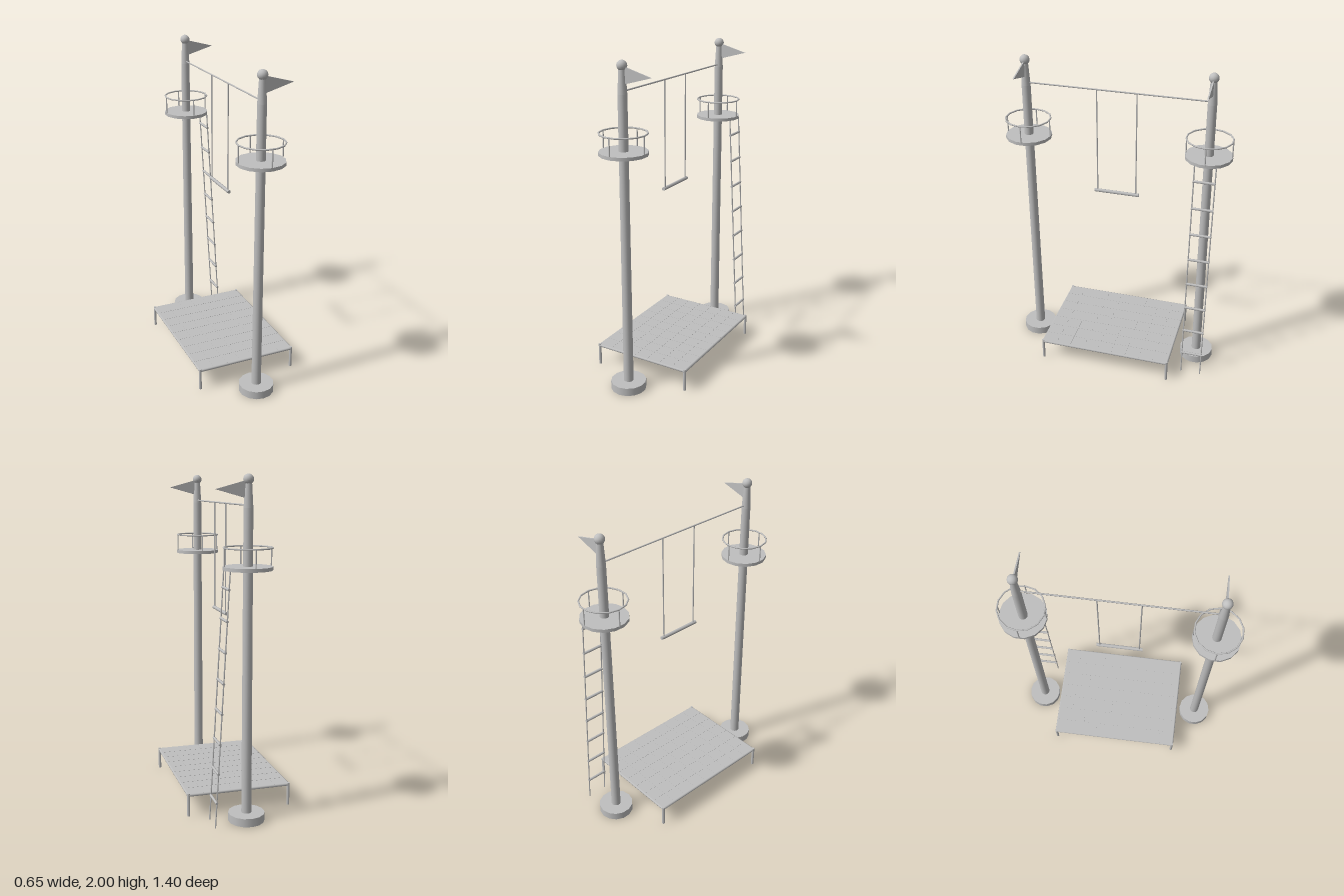
import * as THREE from 'three';

const steel = new THREE.MeshStandardMaterial({ color: 0xbfbfbf });
steel.name = 'plain grey';

function add(parent, name, geometry, x = 0, y = 0, z = 0) {
  const mesh = new THREE.Mesh(geometry, steel);
  mesh.name = name;
  mesh.position.set(x, y, z);
  parent.add(mesh);
  return mesh;
}

// Round bar between two points
function bar(parent, name, a, b, radius, sides = 8) {
  const from = new THREE.Vector3(...a), to = new THREE.Vector3(...b);
  const dir = to.clone().sub(from);
  const mesh = add(parent, name, new THREE.CylinderGeometry(radius, radius, dir.length(), sides));
  mesh.position.copy(from).add(to).multiplyScalar(0.5);
  mesh.quaternion.setFromUnitVectors(new THREE.Vector3(0, 1, 0), dir.normalize());
  return mesh;
}

// Pole with foot, lookout platform, railing, ball and pennant
function createMast(z) {
  const mast = new THREE.Group();
  mast.name = 'mast';
  mast.position.z = z;

  add(mast, 'foot', new THREE.CylinderGeometry(0.108, 0.108, 0.05, 14), 0, 0.025, 0);
  add(mast, 'pole', new THREE.CylinderGeometry(0.027, 0.03, 1.77, 14), 0, 0.93, 0);
  add(mast, 'poleTip', new THREE.CylinderGeometry(0.019, 0.027, 0.14, 14), 0, 1.885, 0);
  add(mast, 'ball', new THREE.SphereGeometry(0.03, 14, 10), 0, 1.97, 0);

  add(mast, 'platform', new THREE.CylinderGeometry(0.142, 0.142, 0.02, 14), 0, 1.487, 0);
  add(mast, 'railing', new THREE.TorusGeometry(0.138, 0.005, 6, 14), 0, 1.6, 0).rotation.x = Math.PI / 2;
  for (let i = 0; i < 4; i++) {
    const a = i * Math.PI / 2;
    const x = 0.137 * Math.cos(a), pz = 0.137 * Math.sin(a);
    bar(mast, 'railingPost', [x, 1.49, pz], [x, 1.6, pz], 0.004, 6);
  }

  const pennant = new THREE.Shape();
  pennant.moveTo(0.012, 1.868);
  pennant.lineTo(0.188, 1.917);
  pennant.lineTo(0.012, 1.965);
  pennant.closePath();
  const cloth = new THREE.ExtrudeGeometry(pennant, { depth: 0.008, bevelEnabled: false });
  add(mast, 'pennant', cloth, 0, 0, -0.004);
  return mast;
}

// Ladder leaning on the rear platform
function createLadder() {
  const ladder = new THREE.Group();
  ladder.name = 'ladder';
  const xAt = (y) => 0.207 - 0.085 * y / 1.48;
  for (const z of [-0.498, -0.624]) {
    bar(ladder, 'ladderRail', [xAt(0), 0, z], [xAt(1.48), 1.48, z], 0.004, 6);
  }
  for (let i = 0; i < 8; i++) {
    const y = 0.15 + i * 0.1755;
    bar(ladder, 'rung', [xAt(y), y, -0.494], [xAt(y), y, -0.628], 0.008, 8);
  }
  return ladder;
}

// Trapeze hanging from the tightrope
function createTrapeze() {
  const trapeze = new THREE.Group();
  trapeze.name = 'trapeze';
  for (const z of [-0.122, 0.122]) {
    bar(trapeze, 'trapezeRope', [0, 1.16, z], [0, 1.83, z], 0.004, 6);
  }
  bar(trapeze, 'trapezeBar', [0, 1.162, -0.142], [0, 1.162, 0.142], 0.011, 8);
  return trapeze;
}

// Safety net on a low frame
function createNet() {
  const net = new THREE.Group();
  net.name = 'safetyNet';
  const w = 0.315, d = 0.42, top = 0.131;
  for (const s of [-1, 1]) {
    bar(net, 'frameSide', [s * w, top, -d], [s * w, top, d], 0.009);
    bar(net, 'frameEnd', [-w, top, s * d], [w, top, s * d], 0.009);
    for (const t of [-1, 1]) bar(net, 'leg', [s * w, 0, t * d], [s * w, 0.142, t * d], 0.009);
  }
  add(net, 'sheet', new THREE.BoxGeometry(2 * w, 0.006, 2 * d), 0, 0.137, 0);
  // Woven strands, just proud of the sheet
  for (let i = 1; i < 7; i++) {
    add(net, 'longStrand', new THREE.BoxGeometry(0.004, 0.002, 2 * d), -w + i * 2 * w / 7, 0.14, 0);
  }
  for (let i = 1; i < 9; i++) {
    add(net, 'crossStrand', new THREE.BoxGeometry(2 * w, 0.002, 0.004), 0, 0.14, -d + i * 2 * d / 9);
  }
  return net;
}

export function createModel() {
  const model = new THREE.Group();
  model.name = 'trapezeRig';
  model.add(createMast(0.56), createMast(-0.56), createLadder(), createTrapeze(), createNet());
  bar(model, 'tightrope', [0, 1.83, -0.56], [0, 1.83, 0.56], 0.005, 6);
  return model;
}
